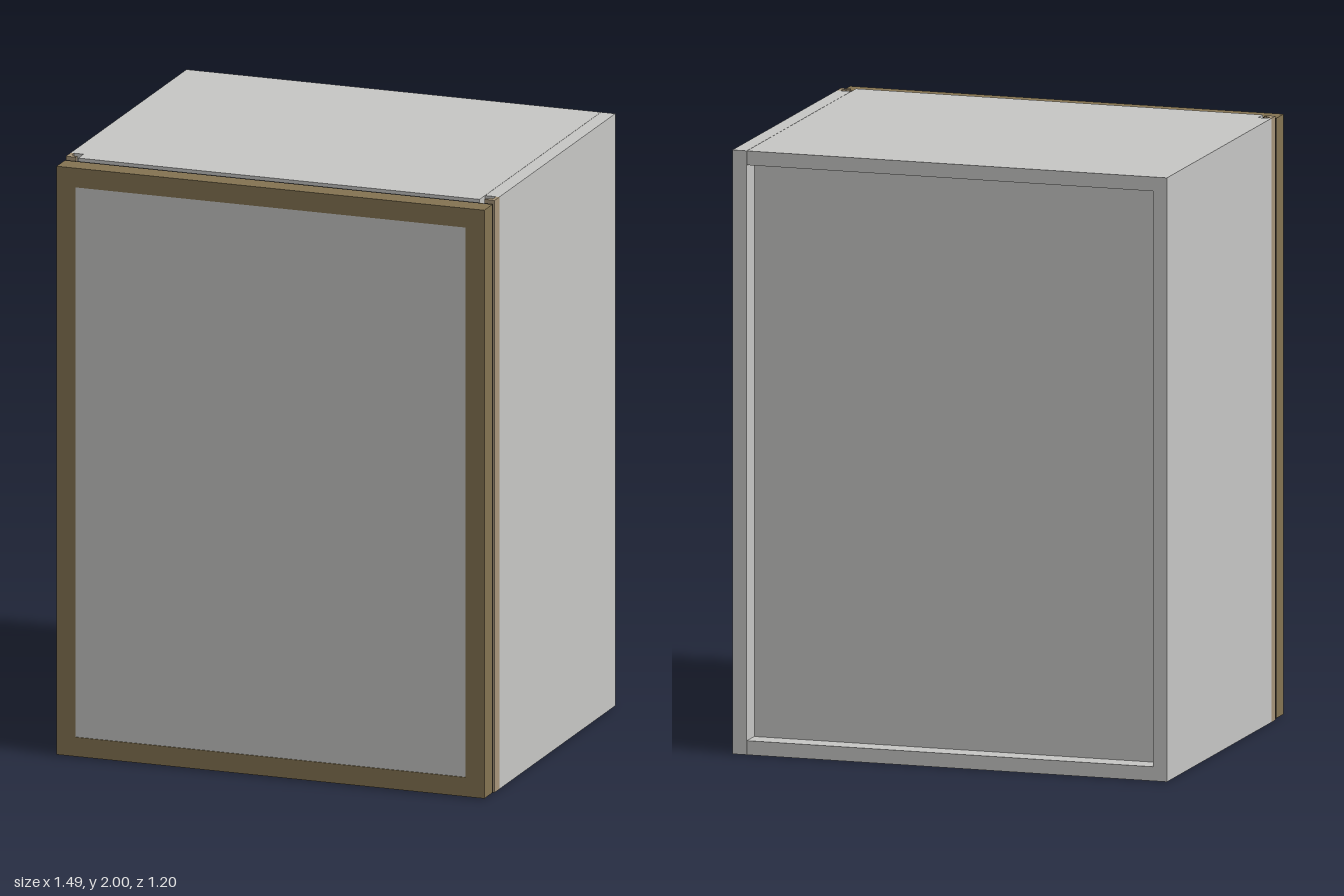
import * as THREE from 'three';

const mat = (name, color) => {
  const m = new THREE.MeshStandardMaterial({ color });
  m.name = name;
  return m;
};

export function createModel() {
  const model = new THREE.Group();
  model.name = 'cabinet';
  const grey = mat('panelGrey', 0xc8c8c6);
  const brown = mat('frameBrown', 0x857452);
  const tan = mat('bracketTan', 0xa8967a);
  const black = mat('sealBlack', 0x1c1a18);

  const add = (name, geometry, material, parent = model) => {
    const mesh = new THREE.Mesh(geometry, material);
    mesh.name = name;
    parent.add(mesh);
    return mesh;
  };
  // Box given by its minimum and maximum corners
  const box = (name, a, b, material, parent) => {
    const mesh = add(name, new THREE.BoxGeometry(b[0] - a[0], b[1] - a[1], b[2] - a[2]), material, parent);
    mesh.position.set((a[0] + b[0]) / 2, (a[1] + b[1]) / 2, (a[2] + b[2]) / 2);
  };
  // Plan outline of [x, z] points, raised from y0 to y1
  const slab = (name, points, y0, y1, material, parent) => {
    const shape = new THREE.Shape(points.map(([x, z]) => new THREE.Vector2(x, -z)));
    const geometry = new THREE.ExtrudeGeometry(shape, { depth: y1 - y0, bevelEnabled: false });
    geometry.rotateX(-Math.PI / 2).translate(0, y0, 0);
    add(name, geometry, material, parent);
  };
  // Rectangular ring facing the front
  const ring = (name, w, y0, y1, border, z0, z1, material, parent) => {
    const rect = (x, a, b) => [[-x, a], [x, a], [x, b], [-x, b]].map(p => new THREE.Vector2(...p));
    const shape = new THREE.Shape(rect(w, y0, y1));
    shape.holes.push(new THREE.Path(rect(w - border, y0 + border, y1 - border)));
    const geometry = new THREE.ExtrudeGeometry(shape, { depth: z1 - z0, bevelEnabled: false });
    geometry.translate(0, 0, z0);
    add(name, geometry, material, parent);
  };

  const W = 0.745, T = 0.047, back = -0.6, notch = 0.465;

  // Carcass: top and bottom with front corner notches, two sides, recessed back
  const carcass = new THREE.Group();
  carcass.name = 'carcass';
  model.add(carcass);
  const seam = W - 0.05;
  const plan = [[-W, back], [seam, back], [seam, 0.514], [-0.7, 0.514], [-0.7, notch], [-W, notch]];
  slab('bottomPanel', plan, 0, T, grey, carcass);
  slab('topPanel', plan, 2 - T, 2, grey, carcass);
  box('leftSide', [seam + 0.001, 0, back], [W, 2, notch], grey, carcass);
  box('rightSide', [-W, T, back], [-W + T, 2 - T, notch], grey, carcass);
  box('backPanel', [-W + T, T, -0.525], [seam, 2 - T, -0.5], grey, carcass);

  // Stepped corner brackets along the front edges
  for (const s of [-1, 1]) {
    const profile = [[W, notch], [W, 0.508], [0.71, 0.508], [0.71, 0.495],
      [0.722, 0.495], [0.722, 0.487], [0.733, 0.487], [0.733, notch]];
    slab(s > 0 ? 'leftBracket' : 'rightBracket', profile.map(([x, z]) => [s * x, z]), 0, 2, tan);
  }

  // Door: frame, infill panel and seal behind
  const door = new THREE.Group();
  door.name = 'door';
  model.add(door);
  const doorW = 0.743, y0 = 0.003, y1 = 1.99, border = 0.065;
  ring('doorFrame', doorW, y0, y1, border, 0.526, 0.597, brown, door);
  box('doorPanel', [-doorW + border, y0 + border, 0.53], [doorW - border, y1 - border, 0.594], grey, door);
  ring('doorSeal', doorW, y0, y1, 0.04, 0.52, 0.526, black, door);

  return model;
}
